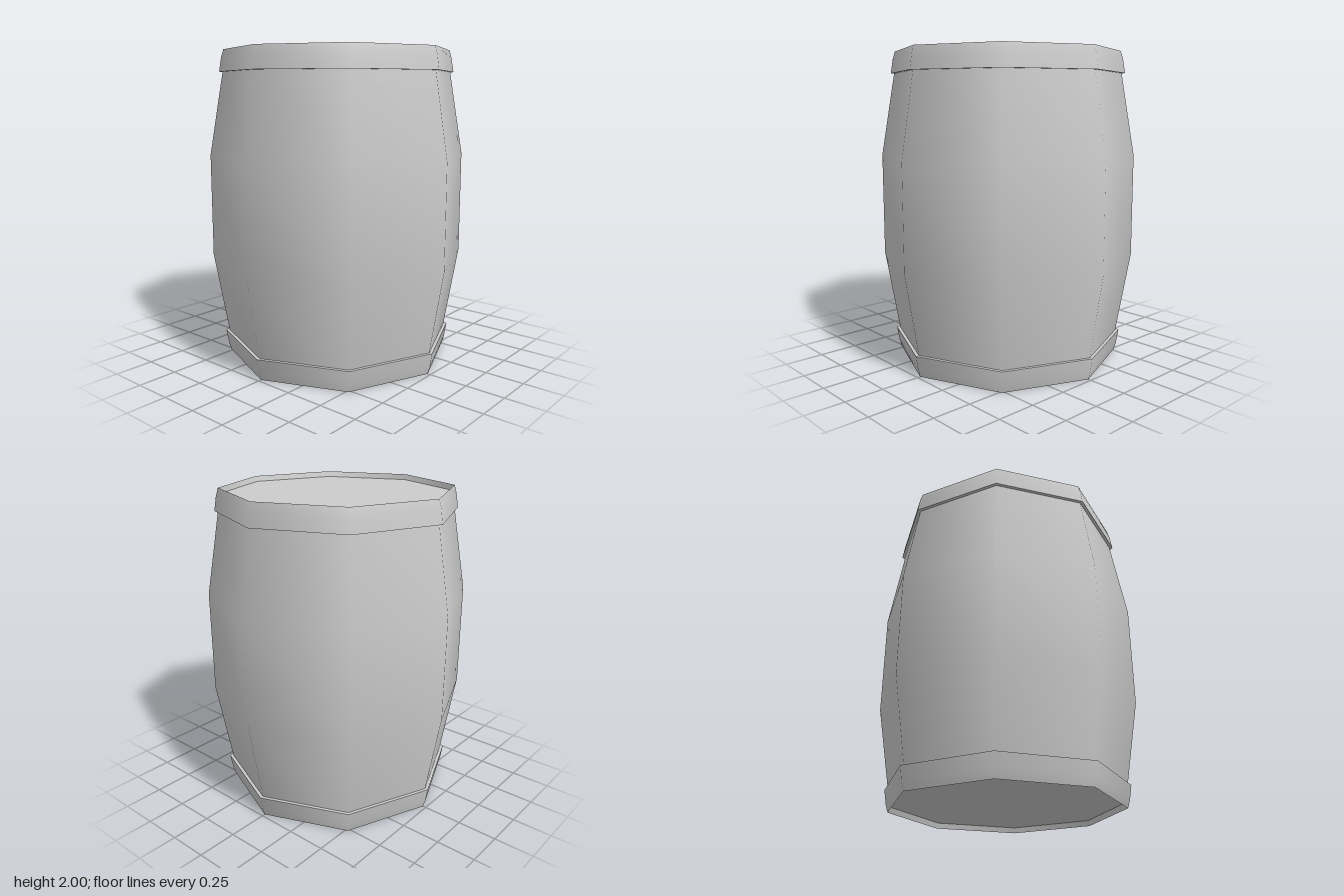
import * as THREE from 'three';

const SIDES = 8;
const material = new THREE.MeshStandardMaterial({ color: 0xcccccc });

// Eight-sided turned surface; profile is a list of [radius, height]
function turned(name, profile) {
  const points = profile.map(([r, y]) => new THREE.Vector2(r, y));
  const mesh = new THREE.Mesh(new THREE.LatheGeometry(points, SIDES), material);
  mesh.name = name;
  return mesh;
}

// One barrel end, heights measured from the middle of the barrel
function createEnd(name) {
  const end = new THREE.Group();
  end.name = name;

  // Band: underside ledge, outer face and inner lip
  end.add(turned('bandLedge', [[0.73, 0.86], [0.76, 0.86]]));
  end.add(turned('bandOuter', [[0.76, 0.86], [0.745, 0.95], [0.73, 1]]));
  end.add(turned('bandLip', [[0.73, 1], [0.72, 0.965]]));

  // Recessed flat lid
  const lid = new THREE.Mesh(new THREE.CircleGeometry(0.72, SIDES), material);
  lid.name = 'lid';
  lid.rotation.x = -Math.PI / 2;
  lid.position.y = 0.965;
  end.add(lid);
  return end;
}

export function createModel() {
  const barrel = new THREE.Group();
  barrel.name = 'barrel';

  // Bulging body
  const body = turned('body', [[0.72, 0.035], [0.83, 0.67], [0.83, 1.33], [0.72, 1.965]]);
  barrel.add(body);

  // Identical ends, the lower one turned over
  const top = createEnd('topEnd');
  const bottom = createEnd('bottomEnd');
  bottom.rotation.x = Math.PI;
  for (const end of [top, bottom]) {
    end.position.y = 1;
    barrel.add(end);
  }
  return barrel;
}
